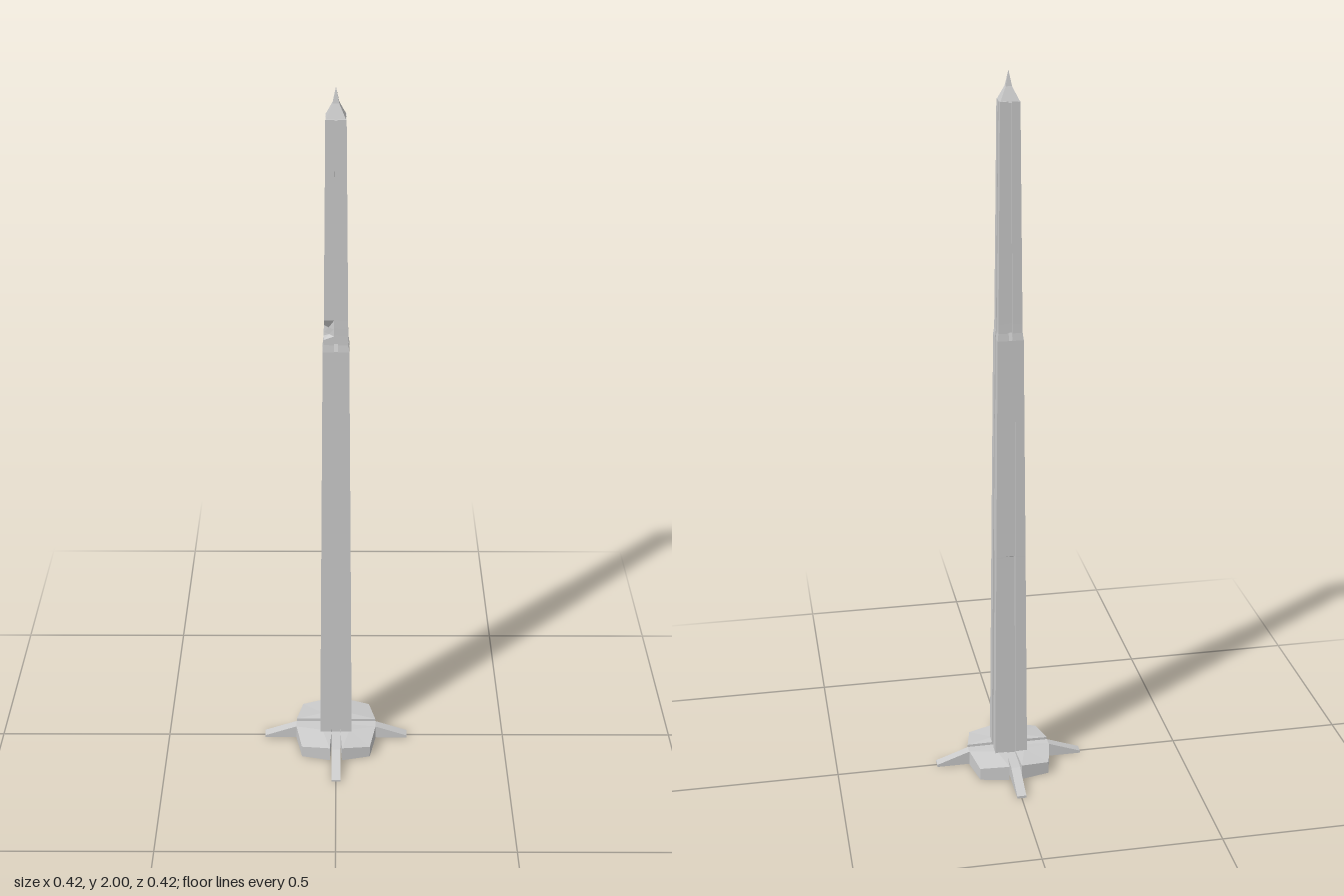
import * as THREE from 'three';

const material = new THREE.MeshStandardMaterial({ color: 0xcccccc, flatShading: true });

// Joins closed rings of [x, y, z] points, each counter-clockwise seen from above.
function loft(rings) {
  const n = rings[0].length, index = [];
  for (let r = 0; r < rings.length - 1; r++) {
    for (let i = 0; i < n; i++) {
      const a = r * n + i, b = r * n + (i + 1) % n;
      index.push(a, b, b + n, a, b + n, a + n);
    }
  }
  const geometry = new THREE.BufferGeometry();
  geometry.setAttribute('position', new THREE.Float32BufferAttribute(rings.flat(2), 3));
  geometry.setIndex(index);
  const flat = geometry.toNonIndexed();
  flat.computeVertexNormals();
  return flat;
}

// Square section with a groove in the middle of each side; bite pulls in one corner.
function section(y, half, groove, depth, bite = 0) {
  const ring = [];
  for (let side = 0; side < 4; side++) {
    const corner = half - (side === 0 ? bite : 0);
    let points = [[-corner, corner], [-groove, half], [-groove, half - depth],
      [groove, half - depth], [groove, half]];
    for (let k = 0; k < side; k++) points = points.map(([x, z]) => [z, -x]);
    ring.push(...points.map(([x, z]) => [x, y, z]));
  }
  return ring;
}

function mesh(name, geometry) {
  const part = new THREE.Mesh(geometry, material);
  part.name = name;
  return part;
}

export function createModel() {
  const model = new THREE.Group();
  model.name = 'obeliskTower';

  // Tapered shaft: wide grooves below, shallow panels midway, slits above
  model.add(mesh('shaft', loft([
    section(0, 0, 0, 0),
    section(0, 0.047, 0.013, 0.01),
    section(0.67, 0.041, 0.012, 0.01),
    section(0.675, 0.041, 0.012, 0.002),
    section(1.08, 0.037, 0.012, 0.002),
    section(1.08, 0.037, 0.005, 0.002),
    section(1.3, 0.035, 0.005, 0.002),
    section(1.32, 0.0325, 0.005, 0.007),
    section(1.335, 0.0322, 0.005, 0.007),
    section(1.345, 0.032, 0.005, 0.007, 0.014),
    section(1.365, 0.0318, 0.005, 0.007, 0.013),
    section(1.39, 0.0315, 0.005, 0.007),
    section(1.925, 0.026, 0.004, 0.006),
    section(1.925, 0, 0, 0),
  ])));

  // Pyramid cap ending in a thin spire
  model.add(mesh('spire', loft([
    section(1.922, 0, 0, 0),
    section(1.922, 0.026, 0.004, 0),
    section(1.96, 0.008, 0.002, 0),
    section(2, 0, 0, 0),
  ])));

  // Four corner slabs and four sloping legs around the foot
  const outline = [[0.012, 0.03], [0.018, 0.118], [0.1, 0.1], [0.118, 0.018], [0.03, 0.012]];
  const heights = [0.05, 0.045, 0.036, 0.045, 0.05];
  const slabGeometry = loft([
    outline.map(() => [0.04, 0, 0.04]),
    outline.map(([x, z]) => [x, 0, z]),
    outline.map(([x, z], i) => [x, heights[i], z]),
    outline.map(() => [0.04, 0.05, 0.04]),
  ]);
  const profile = new THREE.Shape([[0.03, 0], [0.212, 0], [0.212, 0.007], [0.118, 0.041], [0.03, 0.041]]
    .map(([x, y]) => new THREE.Vector2(x, y)));
  const legGeometry = new THREE.ExtrudeGeometry(profile, { depth: 0.026, bevelEnabled: false });
  legGeometry.translate(0, 0, -0.013);
  for (let i = 0; i < 4; i++) {
    const slab = mesh('baseSlab', slabGeometry);
    const leg = mesh('leg', legGeometry);
    slab.rotation.y = leg.rotation.y = i * Math.PI / 2;
    model.add(slab, leg);
  }
  return model;
}
